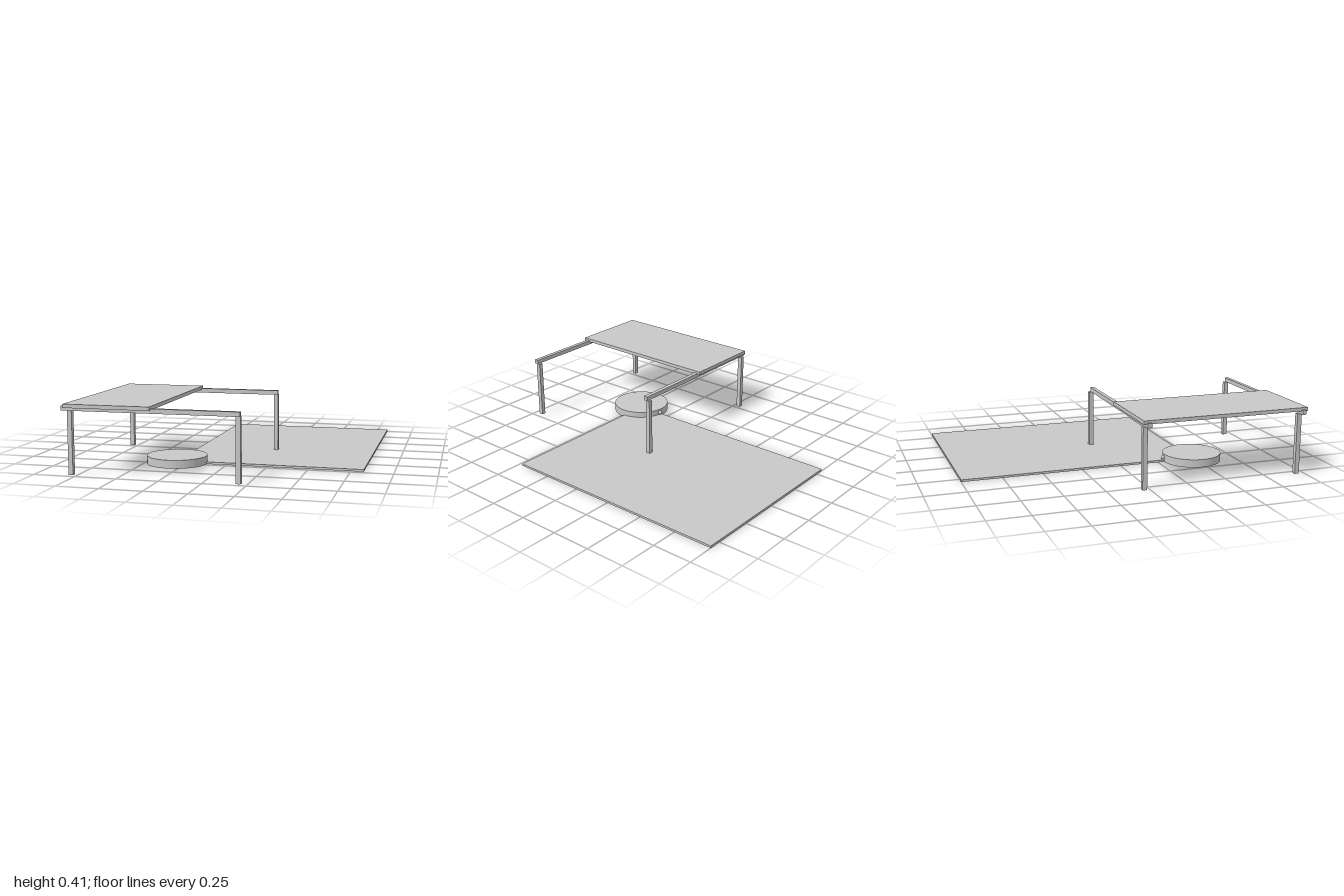
import * as THREE from 'three';

export function createModel() {
  const model = new THREE.Group();
  const grey = new THREE.MeshStandardMaterial({ color: 0xc8c8c8 });
  grey.name = 'light grey';
  grey.flatShading = true;

  // Box given by its minimum and maximum on each axis
  function box(name, [x0, x1], [y0, y1], [z0, z1]) {
    const mesh = new THREE.Mesh(new THREE.BoxGeometry(x1 - x0, y1 - y0, z1 - z0), grey);
    mesh.position.set((x0 + x1) / 2, (y0 + y1) / 2, (z0 + z1) / 2);
    mesh.name = name;
    model.add(mesh);
  }

  // Ground slab and raised panel
  box('floorSlab', [-0.305, 0.826], [0, 0.013], [-1, 0.472]);
  box('roofPanel', [-0.812, -0.297], [0.391, 0.413], [-0.047, 1]);

  // Two frames, each with a beam and two posts set slightly behind it
  for (const [side, z] of [['back', -0.018], ['front', 0.968]]) {
    box(side + 'Beam', [-0.83, 0.213], [0.373, 0.4], [z - 0.013, z + 0.013]);
    for (const [end, x] of [['Right', -0.786], ['Left', 0.199]]) {
      box(side + end + 'Post', [x - 0.0135, x + 0.0135], [0, 0.373], [z - 0.029, z - 0.001]);
    }
  }

  // Round tub on the slab corner
  const tub = new THREE.Mesh(new THREE.CylinderGeometry(0.184, 0.184, 0.05, 48), grey);
  tub.position.set(-0.308, 0.025, 0.475);
  tub.name = 'roundTub';
  model.add(tub);

  // Small knob on the tub's back edge
  const knob = new THREE.Mesh(new THREE.SphereGeometry(0.014, 16, 12), grey);
  knob.position.set(-0.292, 0.027, 0.288);
  knob.name = 'tubKnob';
  model.add(knob);

  return model;
}
